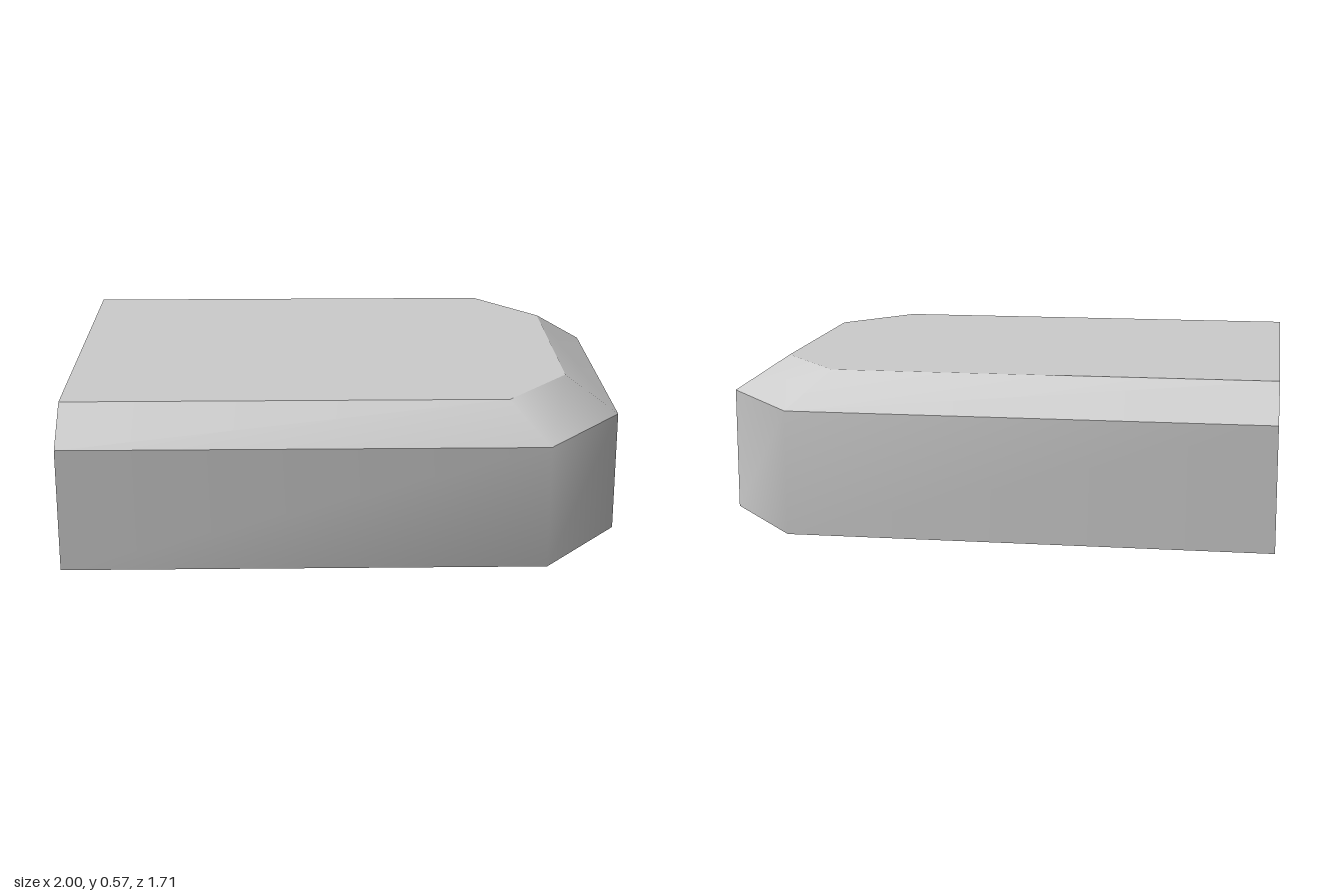
import * as THREE from 'three';

// Half outlines (x, z) on the front side, mirrored to the back
const mirror = (half) => [...half, ...half.map(([x, z]) => [x, -z]).reverse()];
const outer = mirror([[-1, 0.857], [0.71, 0.857], [1, 0.5]]);
const inner = mirror([[-1, 0.697], [0.58, 0.697], [0.815, 0.41]]);
const WALL_TOP = 0.445, TOP = 0.568;

function build(positions, indices) {
  const geometry = new THREE.BufferGeometry();
  geometry.setAttribute('position', new THREE.Float32BufferAttribute(positions, 3));
  geometry.setIndex(indices);
  geometry.computeVertexNormals();
  return geometry;
}

// Band between two outlines, smooth along its length and open at its ends
function band(low, lowY, high, highY) {
  const positions = [], indices = [];
  low.forEach(([x, z], i) => {
    positions.push(x, lowY, z, high[i][0], highY, high[i][1]);
    if (i < low.length - 1) {
      const a = i * 2;
      indices.push(a, a + 2, a + 3, a, a + 3, a + 1);
    }
  });
  return build(positions, indices);
}

// Flat panel filling an outline
function panel(points, y) {
  const indices = [];
  for (let i = 1; i < points.length - 1; i++) indices.push(0, i, i + 1);
  return build(points.flatMap(([x, z]) => [x, y, z]), indices);
}

export function createModel() {
  const group = new THREE.Group();
  group.name = 'openShell';
  const grey = new THREE.MeshStandardMaterial({ color: 0xcccccc, side: THREE.DoubleSide });
  grey.name = 'light grey';

  const add = (name, geometry) => {
    const mesh = new THREE.Mesh(geometry, grey);
    mesh.name = name;
    group.add(mesh);
  };

  // Upright wall, sloping shoulder and flat top; left open below and at -x
  add('sideWall', band(outer, 0, outer, WALL_TOP));
  add('slopedShoulder', band(outer, WALL_TOP, inner, TOP));
  add('topPanel', panel(inner, TOP));
  return group;
}
